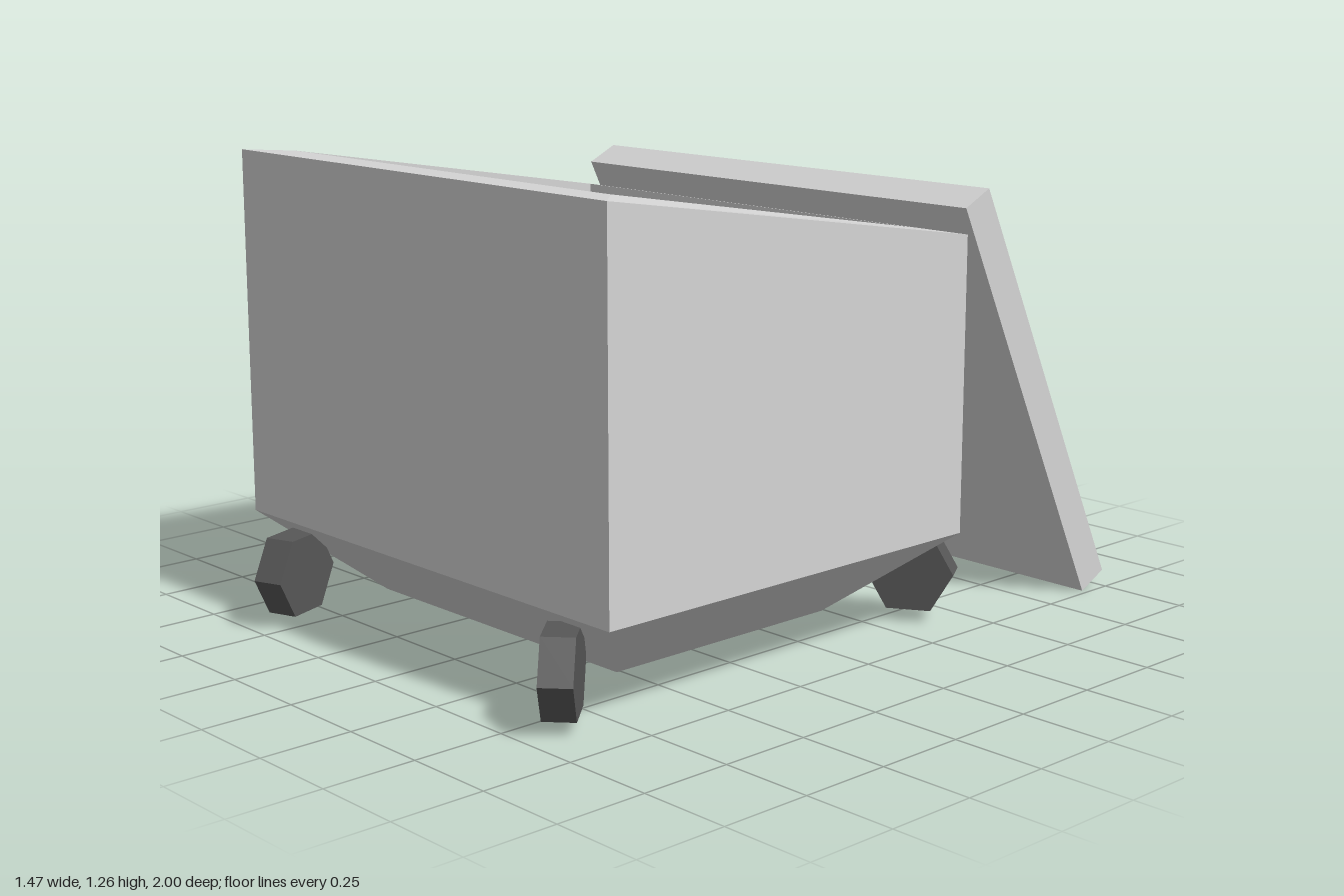
import * as THREE from 'three';

const bodyGrey = new THREE.MeshStandardMaterial({ color: 0xd4d4d4 });
bodyGrey.name = 'bodyGrey';
const wheelGrey = new THREE.MeshStandardMaterial({ color: 0x575757 });
wheelGrey.name = 'wheelGrey';

// Flat-faced skin through rectangular loops, capped at both ends.
// Each loop: half width, front z, back z, front y, back y.
function loftRectangles(loops) {
  const rings = loops.map(([w, zf, zb, yf, yb]) => [
    [-w, yf, zf], [w, yf, zf], [w, yb, zb], [-w, yb, zb],
  ]);
  const positions = [];
  const quad = (a, b, c, d) => positions.push(...a, ...b, ...c, ...a, ...c, ...d);
  for (let r = 0; r < rings.length - 1; r++) {
    const lo = rings[r], hi = rings[r + 1];
    for (let i = 0; i < 4; i++) {
      const j = (i + 1) % 4;
      quad(lo[i], lo[j], hi[j], hi[i]);
    }
  }
  const first = rings[0], last = rings[rings.length - 1];
  quad(first[3], first[2], first[1], first[0]);
  quad(last[0], last[1], last[2], last[3]);
  const geometry = new THREE.BufferGeometry();
  geometry.setAttribute('position', new THREE.Float32BufferAttribute(positions, 3));
  geometry.computeVertexNormals();
  return geometry;
}

export function createModel() {
  const model = new THREE.Group();
  model.name = 'wheeledBin';

  const add = (name, geometry, material) => {
    const mesh = new THREE.Mesh(geometry, material);
    mesh.name = name;
    model.add(mesh);
    return mesh;
  };

  // Hollow bin: tapered base, straight walls, sloping rim, inner walls and floor
  add('bin', loftRectangles([
    [0.475, 0.615, -0.115, 0.055, 0.055],
    [0.733, 0.865, -0.37, 0.275, 0.275],
    [0.733, 0.865, -0.37, 1.265, 1.07],
    [0.632, 0.765, -0.27, 1.262, 1.088],
    [0.632, 0.765, -0.27, 0.3, 0.3],
  ]), bodyGrey);

  // Loose lid leaning against the back
  const lid = add('lid', new THREE.BoxGeometry(1.466, 1.265, 0.1), bodyGrey);
  lid.position.set(0, 0.592, -0.683);
  lid.rotation.x = 0.453;

  // Six-sided wheels, each swivelled its own way
  const wheel = new THREE.CylinderGeometry(0.12, 0.12, 0.085, 6).toNonIndexed();
  wheel.rotateZ(Math.PI / 2);
  wheel.computeVertexNormals();
  const wheels = [
    ['frontRightWheel', -0.547, 0.868, 20],
    ['frontLeftWheel', 0.567, 0.868, 42],
    ['backRightWheel', -0.547, -0.375, 95],
    ['backLeftWheel', 0.563, -0.375, -58],
  ];
  for (const [name, x, z, turn] of wheels) {
    const mesh = add(name, wheel, wheelGrey);
    mesh.position.set(x, 0.14, z);
    mesh.rotation.y = THREE.MathUtils.degToRad(turn);
  }

  return model;
}
